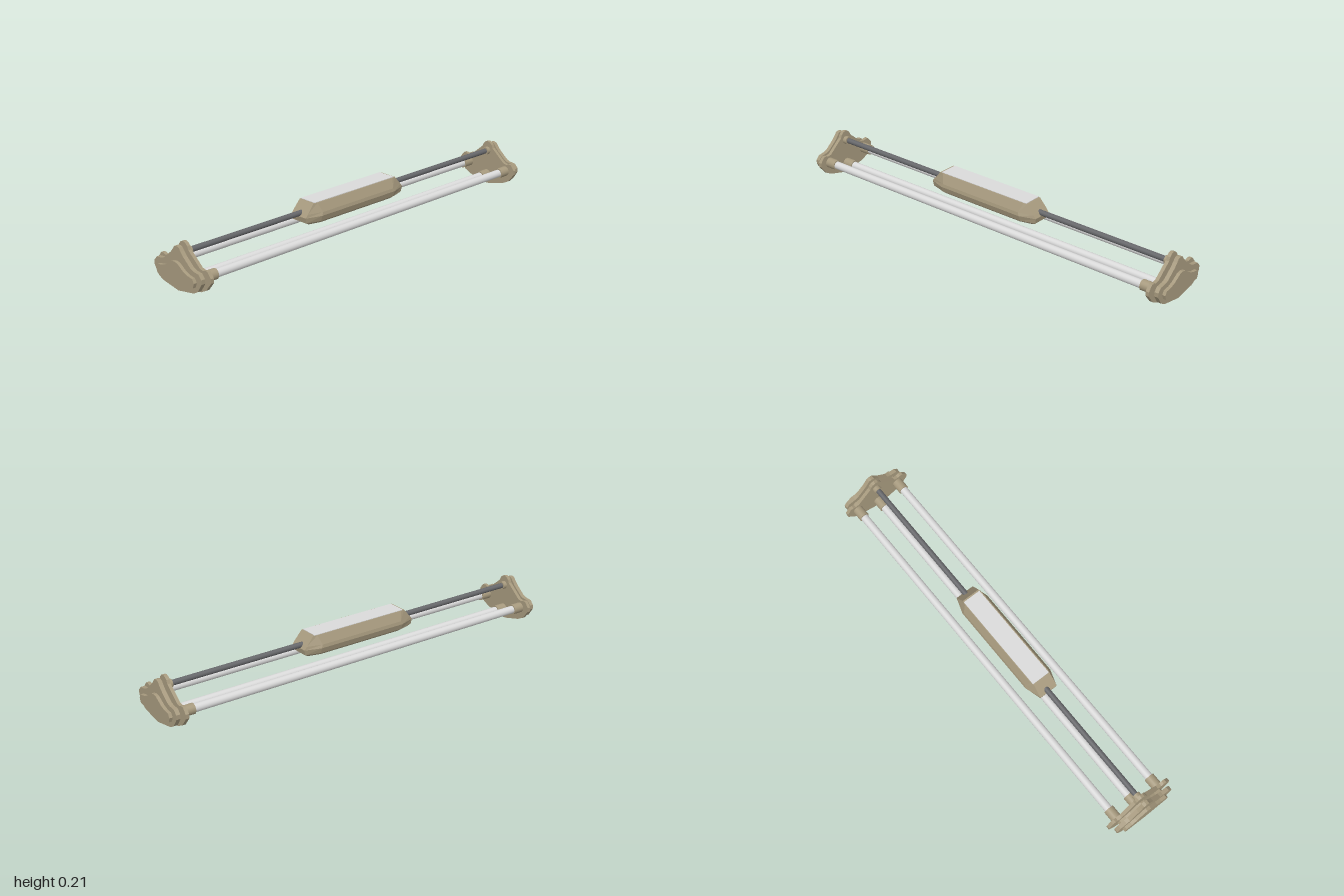
import * as THREE from 'three';

const tan = new THREE.MeshStandardMaterial({ color: 0xa79a7e });
tan.name = 'tan';
const white = new THREE.MeshStandardMaterial({ color: 0xdadada });
white.name = 'white';
const darkGrey = new THREE.MeshStandardMaterial({ color: 0x66676a });
darkGrey.name = 'darkGrey';

function add(parent, name, geometry, material) {
  const mesh = new THREE.Mesh(geometry, material);
  mesh.name = name;
  parent.add(mesh);
  return mesh;
}

// Plate cut from a half outline (top to bottom), mirrored in x, between two depths
function plate(half, z0, z1) {
  const mirrored = half.filter(([x]) => x > 0).map(([x, y]) => [-x, y]).reverse();
  const shape = new THREE.Shape([...half, ...mirrored].map(([x, y]) => new THREE.Vector2(x, y)));
  return new THREE.ExtrudeGeometry(shape, { depth: z1 - z0, bevelEnabled: false }).translate(0, 0, z0);
}

// Round bar along z
function bar(radius, x, y, z0, z1) {
  return new THREE.CylinderGeometry(radius, radius, z1 - z0, 20)
    .rotateX(Math.PI / 2).translate(x, y, (z0 + z1) / 2);
}

// Faceted hull lofted through octagonal plan layers: [y, halfLength, halfWidth, endHalfWidth, taper]
function hull(layers) {
  const rings = layers.map(([y, l, w, e, t]) => [
    [w, y, l - t], [w, y, t - l], [e, y, -l], [-e, y, -l],
    [-w, y, t - l], [-w, y, l - t], [-e, y, l], [e, y, l],
  ]);
  const pos = [];
  const tri = (...points) => points.forEach((p) => pos.push(...p));
  for (let i = 0; i < rings.length - 1; i++) {
    for (let j = 0; j < 8; j++) {
      const k = (j + 1) % 8;
      tri(rings[i][j], rings[i][k], rings[i + 1][k]);
      tri(rings[i][j], rings[i + 1][k], rings[i + 1][j]);
    }
  }
  const top = rings[rings.length - 1];
  const bottom = rings[0];
  for (let j = 1; j < 7; j++) {
    tri(top[0], top[j], top[j + 1]);
    tri(bottom[0], bottom[j + 1], bottom[j]);
  }
  const geometry = new THREE.BufferGeometry();
  geometry.setAttribute('position', new THREE.Float32BufferAttribute(pos, 3));
  geometry.computeVertexNormals();
  return geometry;
}

const innerOutline = [
  [0, 0.215], [0.015, 0.21], [0.025, 0.2], [0.032, 0.184], [0.102, 0.125], [0.122, 0.121], [0.135, 0.126],
  [0.149, 0.125], [0.169, 0.1], [0.169, 0.08], [0.137, 0.04], [0.105, 0.024], [0.02, 0.002], [0, 0.001],
];
const middleOutline = [
  [0, 0.203], [0.014, 0.2], [0.025, 0.185], [0.04, 0.168], [0.085, 0.13], [0.102, 0.123], [0.135, 0.119],
  [0.152, 0.1], [0.152, 0.08], [0.127, 0.042], [0.1, 0.027], [0, 0.01],
];
const outerOutline = [
  [0, 0.141], [0.02, 0.137], [0.057, 0.112], [0.082, 0.102], [0.112, 0.098],
  [0.122, 0.08], [0.115, 0.059], [0, 0.045],
];

// Mounting points of the three white rods
const rodPoints = [[-0.114, 0.088], [0.114, 0.088], [0, 0.046]];

// End cap: three stepped plates with sockets on the inside
function endCap() {
  const cap = new THREE.Group();
  add(cap, 'innerPlate', plate(innerOutline, 0.934, 0.95), tan);
  add(cap, 'middlePlate', plate(middleOutline, 0.965, 0.984), tan);
  add(cap, 'outerPlate', plate(outerOutline, 0.945, 0.999), tan);
  rodPoints.forEach(([x, y]) => add(cap, 'rodSocket', bar(0.024, x, y, 0.882, 0.94), tan));
  add(cap, 'upperSocket', bar(0.019, 0, 0.168, 0.915, 0.94), tan);
  return cap;
}

export function createModel() {
  const model = new THREE.Group();
  model.name = 'railFrame';

  const frontCap = endCap();
  frontCap.name = 'frontCap';
  const rearCap = endCap();
  rearCap.name = 'rearCap';
  rearCap.rotation.y = Math.PI;
  model.add(frontCap, rearCap);

  // Long rods
  rodPoints.forEach(([x, y]) => add(model, 'rod', bar(0.0185, x, y, -0.94, 0.94), white));
  add(model, 'upperRod', bar(0.0125, 0, 0.168, -0.94, 0.94), darkGrey);

  // Central housing on the upper rod
  const housing = new THREE.Group();
  housing.name = 'housing';
  housing.position.set(0.003, 0, 0.025);
  add(housing, 'housingBody', hull([
    [0.121, 0.275, 0.05, 0.035, 0.06],
    [0.132, 0.295, 0.062, 0.042, 0.07],
    [0.157, 0.3, 0.07, 0.045, 0.075],
    [0.172, 0.288, 0.067, 0.046, 0.07],
    [0.213, 0.253, 0.048, 0.044, 0.02],
  ]), tan);
  // Thin pale panel on top
  add(housing, 'topPanel', new THREE.BoxGeometry(0.088, 0.004, 0.49).translate(-0.001, 0.2135, 0), white);
  model.add(housing);

  // Whole frame sits at a slight yaw
  model.rotation.y = -0.0135;
  const root = new THREE.Group();
  root.name = 'model';
  root.add(model);
  return root;
}
